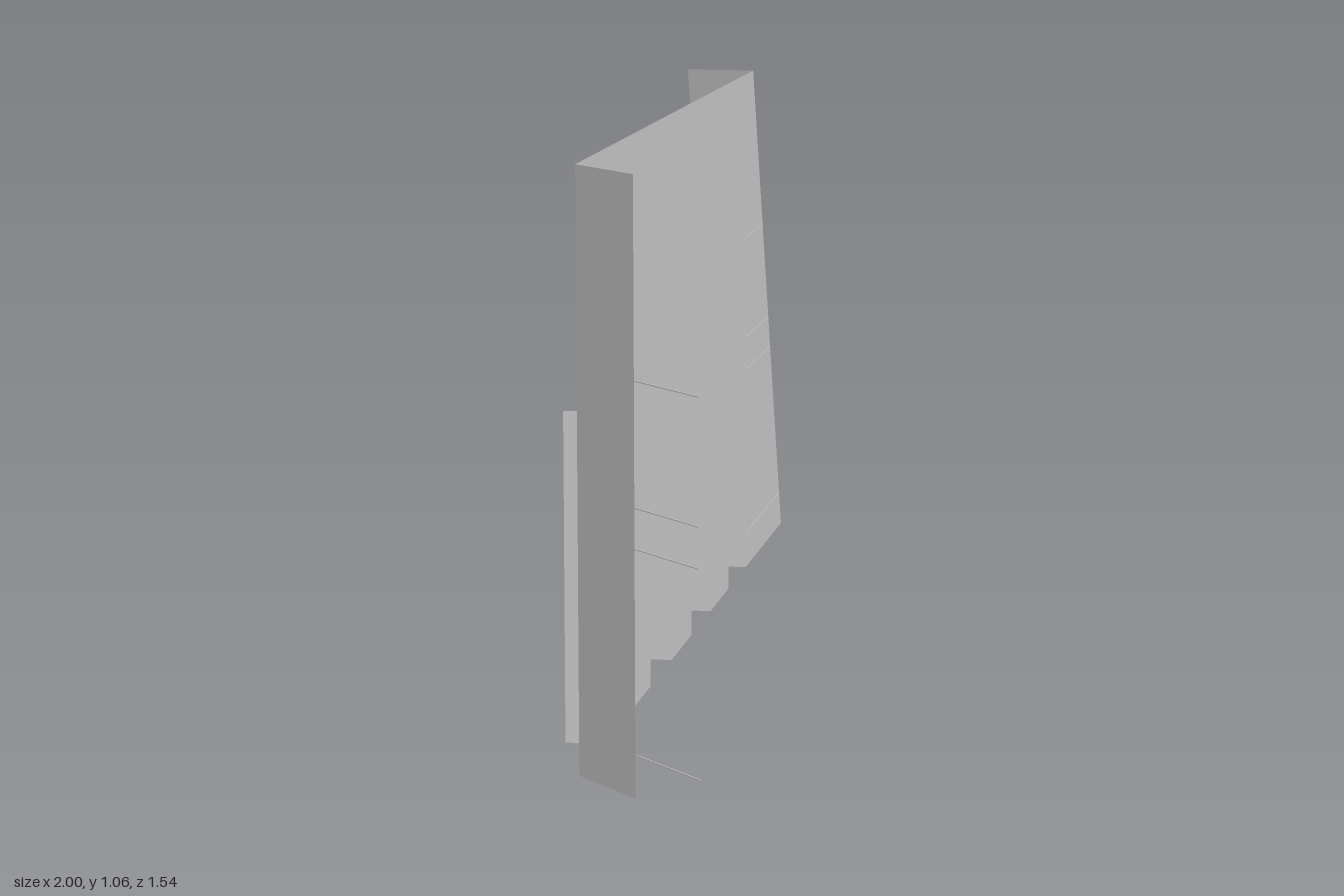
import * as THREE from 'three';

export function createModel() {
  const model = new THREE.Group();
  model.name = 'arcadeWall';
  const grey = new THREE.MeshStandardMaterial({ color: 0xcccccc, side: THREE.DoubleSide });
  grey.name = 'plain grey';

  const add = (parent, geometry, name) => {
    const mesh = new THREE.Mesh(geometry, grey);
    mesh.name = name;
    parent.add(mesh);
    return mesh;
  };

  const R2 = Math.SQRT2;
  const height = 1.06, openingTop = 0.6;
  const length = 1.535 * R2, lean = 0.27 * R2;
  const firstOpening = 0.335 * R2, openingWidth = 0.15 * R2, spacing = 0.3 * R2;
  const jambDepth = 0.05 * R2, endDepth = 0.1 * R2;

  // The wall runs diagonally: local x along it, local z towards its front
  const wall = new THREE.Group();
  wall.name = 'diagonalWall';
  wall.position.set(-0.9, 0, -0.767);
  wall.rotation.y = -Math.PI / 4;
  model.add(wall);

  // Wall sheet with four doorways open to the ground
  const outline = new THREE.Shape();
  outline.moveTo(0, 0);
  for (let i = 0; i < 4; i++) {
    const a = firstOpening + i * spacing, b = a + openingWidth;
    outline.lineTo(a, 0);
    outline.lineTo(a, openingTop);
    outline.lineTo(b, openingTop);
    outline.lineTo(b, 0);
    // Jambs on both sides of the doorway
    for (const x of [a, b]) {
      const jamb = add(wall, new THREE.PlaneGeometry(jambDepth, openingTop), 'doorwayJamb');
      jamb.rotation.y = Math.PI / 2;
      jamb.position.set(x, openingTop / 2, jambDepth / 2);
    }
  }
  outline.lineTo(length, 0);
  outline.lineTo(length, height);
  outline.lineTo(lean, height);
  outline.closePath();
  add(wall, new THREE.ShapeGeometry(outline), 'wallSheet');

  // Leaning end strip
  const strip = new THREE.PlaneGeometry(endDepth, Math.hypot(lean, height));
  strip.rotateY(-Math.PI / 2);
  strip.rotateZ(-Math.atan2(lean, height));
  strip.translate(lean / 2, height / 2, endDepth / 2);
  add(wall, strip, 'leaningEnd');

  // Return panel facing the front at the far end
  const panel = add(model, new THREE.PlaneGeometry(0.175, height), 'returnPanel');
  panel.position.set(0.635 + 0.175 / 2, height / 2, 0.768);

  // Hairline rails at both ends
  for (const y of [0.075, 0.43, 0.5, 0.715]) {
    const rail = add(model, new THREE.BoxGeometry(0.365, 0.002, 0.002), 'panelRail');
    rail.position.set(0.8175, y, 0.767);
    const start = lean * y / height;
    const wallRail = add(wall, new THREE.BoxGeometry(firstOpening - start, 0.002, 0.002), 'wallRail');
    wallRail.position.set((firstOpening + start) / 2, y, 0);
  }
  return model;
}
